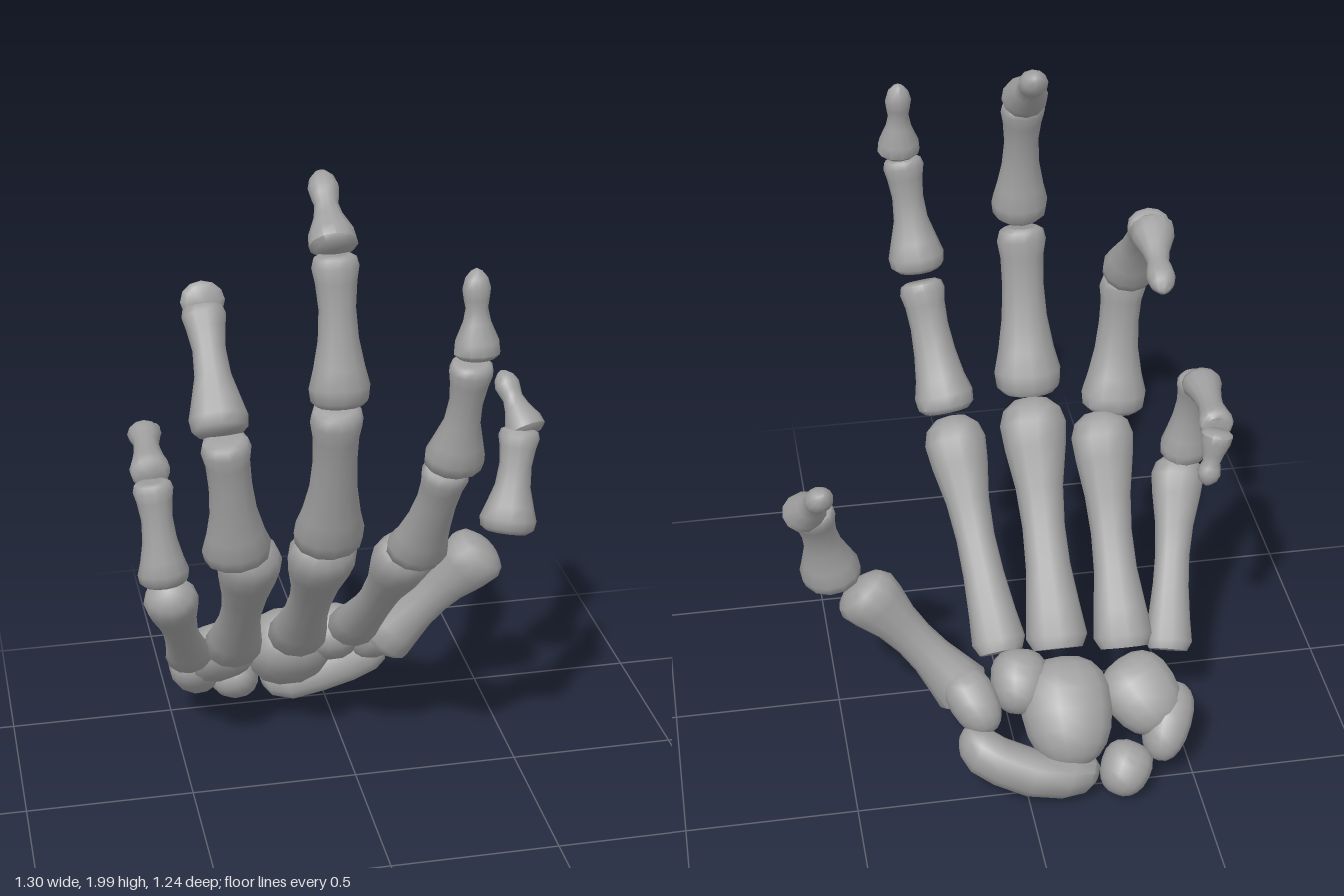
import * as THREE from 'three';
import { toCreasedNormals } from 'three/addons/utils/BufferGeometryUtils.js';

const V = (a) => new THREE.Vector3(...a);
const SIDES = 12;

// Skin elliptical rings [t, halfWidth, halfDepth] from point a to point b.
// side is the width direction; bow arches the middle towards the back of the hand.
function loft(a, b, rings, { side = [1, 0, 0], bow = 0, dip = 0 } = {}) {
  const start = V(a), span = V(b).sub(start), axis = span.clone().normalize();
  const wide = V(side).addScaledVector(axis, -V(side).dot(axis)).normalize();
  const deep = wide.clone().cross(axis);
  const pos = [], index = [];
  const centre = (t) => start.clone().addScaledVector(span, t)
    .addScaledVector(deep, bow * Math.sin(Math.PI * t));
  for (const [t, w, d] of rings) {
    for (let j = 0; j < SIDES; j++) {
      const u = (j / SIDES) * Math.PI * 2;
      pos.push(...centre(t).addScaledVector(wide, w * Math.cos(u))
        .addScaledVector(deep, -d * Math.sin(u)).toArray());
    }
  }
  for (let i = 0; i < rings.length - 1; i++) {
    for (let j = 0; j < SIDES; j++) {
      const k = (j + 1) % SIDES, p = i * SIDES, q = p + SIDES;
      index.push(p + j, p + k, q + k, p + j, q + k, q + j);
    }
  }
  // End caps; the far one may be hollowed into a joint saddle
  const first = pos.length / 3, last = (rings.length - 1) * SIDES;
  pos.push(...centre(rings[0][0]).toArray());
  pos.push(...centre(rings.at(-1)[0]).addScaledVector(axis, -dip).toArray());
  for (let j = 0; j < SIDES; j++) {
    const k = (j + 1) % SIDES;
    index.push(first, k, j, first + 1, last + j, last + k);
  }
  const geo = new THREE.BufferGeometry();
  geo.setAttribute('position', new THREE.Float32BufferAttribute(pos, 3));
  geo.setIndex(index);
  return toCreasedNormals(geo, 0.9);
}

// Profiles: half-widths at the base, shaft and head
const scaled = (rows, depth) => rows.map(([t, w]) => [t, w, w * depth]);
const profiles = {
  metacarpal: (b, s, h) => scaled([[0, b * 0.8], [0.05, b], [0.17, b * 0.88], [0.34, s * 1.05],
    [0.5, s], [0.66, s * 1.12], [0.82, h * 0.92], [0.92, h], [0.98, h * 0.86], [1.02, h * 0.5]], 0.86),
  phalanx: (b, s, h) => scaled([[0, b * 0.75], [0.04, b * 0.95], [0.13, b], [0.26, b * 0.84],
    [0.45, s * 1.1], [0.65, s], [0.82, h * 0.88], [0.92, h], [0.98, h * 0.9], [1, h * 0.68]], 0.86),
  tip: (b, s, h) => scaled([[0, b * 0.75], [0.06, b], [0.2, b * 0.95], [0.42, s * 1.25], [0.58, s],
    [0.68, h * 0.9], [0.8, h], [0.92, h * 0.8], [1, h * 0.4]], 0.9),
};

// Each bone: [name, profile, start, end, base, shaft, head, bow]
const digits = {
  indexFinger: [
    ['Metacarpal', 'metacarpal', [0.04, 0.36, -0.28], [0.11, 0.86, 0.2], 0.08, 0.058, 0.092, 0.02],
    ['ProximalBone', 'phalanx', [0.115, 0.87, 0.25], [0.165, 1.22, 0.43], 0.088, 0.057, 0.068, 0.015],
    ['MiddleBone', 'phalanx', [0.165, 1.235, 0.475], [0.195, 1.57, 0.555], 0.083, 0.046, 0.06, 0.01],
    ['TipBone', 'tip', [0.205, 1.58, 0.56], [0.205, 1.81, 0.535], 0.062, 0.03, 0.038, 0],
  ],
  middleFinger: [
    ['Metacarpal', 'metacarpal', [-0.13, 0.35, -0.28], [-0.13, 0.9, 0.2], 0.092, 0.064, 0.1, 0.02],
    ['ProximalBone', 'phalanx', [-0.13, 0.92, 0.24], [-0.13, 1.4, 0.39], 0.1, 0.062, 0.073, 0.02],
    ['MiddleBone', 'phalanx', [-0.13, 1.42, 0.425], [-0.13, 1.82, 0.365], 0.083, 0.05, 0.064, 0.01],
    ['TipBone', 'tip', [-0.13, 1.83, 0.36], [-0.13, 1.98, 0.175], 0.066, 0.032, 0.042, 0],
  ],
  ringFinger: [
    ['Metacarpal', 'metacarpal', [-0.33, 0.33, -0.28], [-0.33, 0.87, 0.14], 0.09, 0.062, 0.094, 0.02],
    ['ProximalBone', 'phalanx', [-0.375, 0.87, 0.18], [-0.415, 1.28, 0.265], 0.098, 0.06, 0.07, 0.02],
    ['MiddleBone', 'phalanx', [-0.425, 1.29, 0.26], [-0.435, 1.58, 0.04], 0.082, 0.046, 0.062, 0.012],
    ['TipBone', 'tip', [-0.43, 1.585, 0.02], [-0.415, 1.515, -0.22], 0.062, 0.03, 0.04, 0],
  ],
  littleFinger: [
    ['Metacarpal', 'metacarpal', [-0.46, 0.31, -0.29], [-0.56, 0.73, 0.08], 0.072, 0.052, 0.08, 0.015],
    ['ProximalBone', 'phalanx', [-0.57, 0.755, 0.07], [-0.59, 1.06, 0.025], 0.074, 0.045, 0.058, 0.015],
    ['MiddleBone', 'phalanx', [-0.59, 1.065, 0], [-0.575, 1.085, -0.27], 0.058, 0.036, 0.05, 0.01],
    ['TipBone', 'tip', [-0.572, 1.085, -0.29], [-0.54, 0.93, -0.32], 0.046, 0.025, 0.034, 0],
  ],
  thumb: [
    ['Metacarpal', 'metacarpal', [0.15, 0.27, -0.34], [0.45, 0.62, -0.235], 0.09, 0.062, 0.098, 0.01],
    ['ProximalBone', 'phalanx', [0.52, 0.665, -0.235], [0.578, 0.97, -0.32], 0.088, 0.05, 0.064, 0.01],
    ['TipBone', 'tip', [0.6, 0.955, -0.31], [0.55, 1.105, -0.445], 0.063, 0.032, 0.04, 0],
  ],
};

// Wrist bones: [name, centre, half-sizes across / along / through the hand, roll]
const wristBones = [
  ['centralWristBone', [-0.13, 0.235, -0.43], [0.14, 0.17, 0.12], 0],
  ['indexWristBone', [0, 0.31, -0.36], [0.088, 0.1, 0.09], 0.15],
  ['thumbWristBone', [0.14, 0.28, -0.39], [0.075, 0.11, 0.085], -0.4],
  ['ringWristBone', [-0.36, 0.25, -0.405], [0.115, 0.13, 0.09], -0.5],
  ['littleWristBone', [-0.425, 0.18, -0.455], [0.075, 0.125, 0.085], 0.35],
  ['heelWristBone', [-0.285, 0.09, -0.54], [0.078, 0.085, 0.08], 0.5],
];

// A rounded, slightly boxy pebble
function pebble(size) {
  const geo = new THREE.SphereGeometry(1, 14, 10);
  const p = geo.attributes.position;
  const square = (v) => Math.sign(v) * Math.abs(v) ** 0.85;
  for (let i = 0; i < p.count; i++) {
    const x = square(p.getX(i)), y = square(p.getY(i)), z = square(p.getZ(i));
    const taper = 1 + 0.1 * y; // broader towards the fingers
    p.setXYZ(i, x * size[0] * taper * 0.96, y * size[1] * 0.96, z * size[2] * 0.96);
  }
  geo.deleteAttribute('normal');
  geo.deleteAttribute('uv');
  return toCreasedNormals(geo, 0.9);
}

export function createModel() {
  const model = new THREE.Group();
  model.name = 'handSkeleton';
  const bone = new THREE.MeshStandardMaterial({ color: 0xa0a0a0 });
  bone.name = 'greyBone';
  const add = (parent, name, geo) => {
    const mesh = new THREE.Mesh(geo, bone);
    mesh.name = name;
    parent.add(mesh);
    return mesh;
  };

  // Fingers and thumb
  for (const [digit, bones] of Object.entries(digits)) {
    const group = new THREE.Group();
    group.name = digit;
    model.add(group);
    const side = digit === 'thumb' ? [0.8, -0.5, 0.3] : [1, 0, 0];
    for (const [name, type, a, b, base, shaft, head, bow] of bones) {
      const dip = type === 'phalanx' ? 0.012 : -0.008;
      add(group, digit + name, loft(a, b, profiles[type](base, shaft, head), { side, bow, dip }));
    }
  }

  // Wrist
  const wrist = new THREE.Group();
  wrist.name = 'wrist';
  model.add(wrist);
  for (const [name, at, size, roll] of wristBones) {
    const mesh = add(wrist, name, pebble(size));
    mesh.position.set(...at);
    mesh.rotation.set(0.8, 0, roll);
  }

  // Long curved bone cradling the wrist on the thumb side
  const cradle = [[0, 0.035, 0.03], [0.05, 0.07, 0.055], [0.2, 0.095, 0.068], [0.45, 0.09, 0.07],
    [0.7, 0.085, 0.07], [0.88, 0.075, 0.07], [0.97, 0.055, 0.05], [1, 0.03, 0.03]];
  add(wrist, 'cradleWristBone', loft([-0.2, 0.075, -0.535], [0.185, 0.2, -0.455], cradle,
    { side: [0, 0.7, -0.7], bow: 0.045, dip: -0.008 }));

  return model;
}
